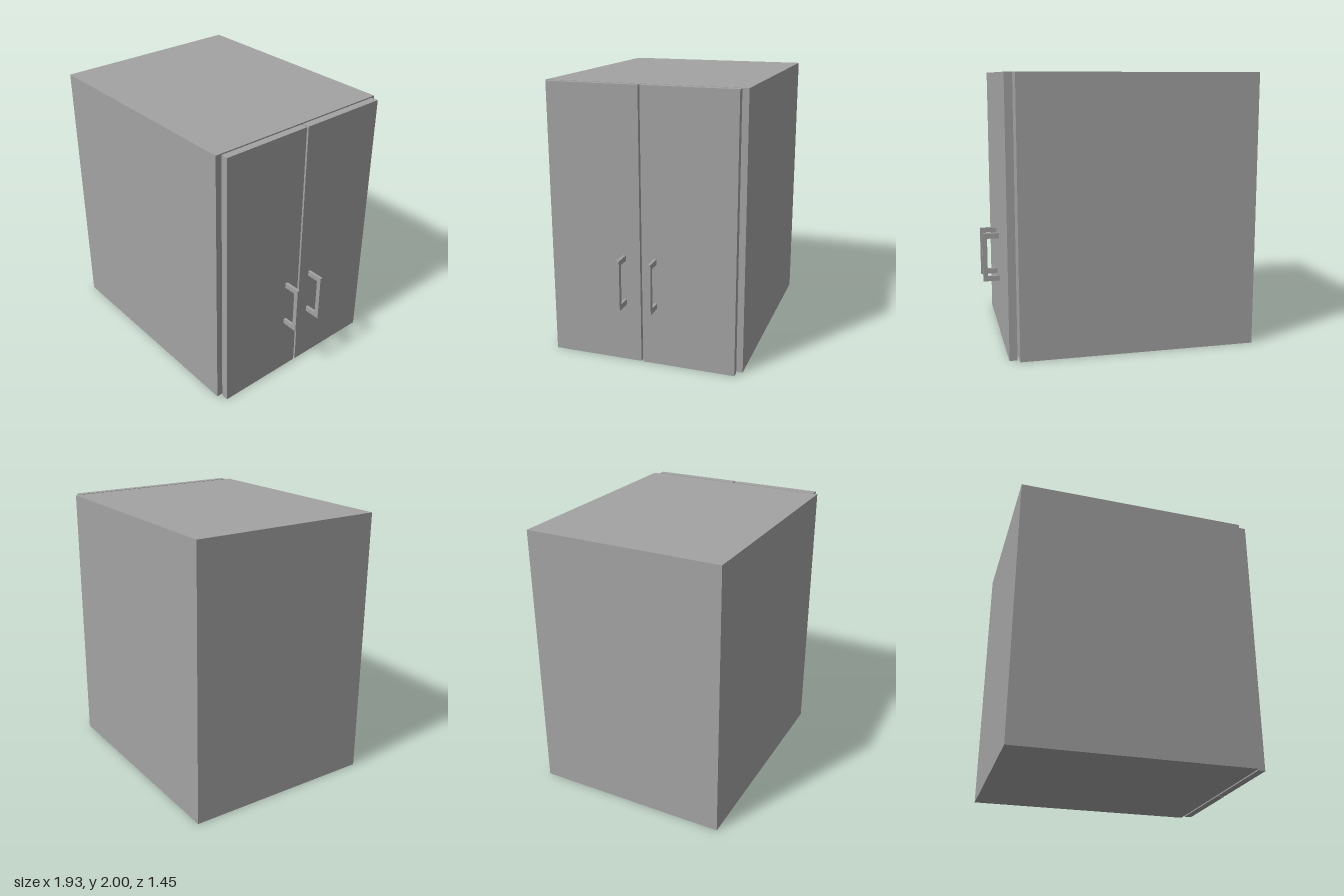
import * as THREE from 'three';

export function createModel() {
  const model = new THREE.Group();
  model.name = 'cabinet';
  const grey = new THREE.MeshStandardMaterial({ color: 0xa3a3a3 });
  grey.name = 'grey';

  // Box given by its lowest and highest corners
  function addBox(name, [x0, y0, z0], [x1, y1, z1]) {
    const mesh = new THREE.Mesh(new THREE.BoxGeometry(x1 - x0, y1 - y0, z1 - z0), grey);
    mesh.position.set((x0 + x1) / 2, (y0 + y1) / 2, (z0 + z1) / 2);
    mesh.name = name;
    model.add(mesh);
  }

  // Cabinet body, with a narrow gap before the doors
  addBox('body', [-0.965, 0, -0.725], [0.77, 2, 0.725]);

  // Pair of doors on the +x side
  addBox('backDoor', [0.784, 0, -0.682], [0.84, 2, -0.001]);
  addBox('frontDoor', [0.784, 0, 0.013], [0.838, 2, 0.69]);

  // C-shaped handles: two legs joined by an upright bar
  const outline = new THREE.Shape([
    [0.836, 0.43], [0.965, 0.43], [0.965, 0.8], [0.836, 0.8],
    [0.836, 0.76], [0.931, 0.76], [0.931, 0.47], [0.836, 0.47],
  ].map(([x, y]) => new THREE.Vector2(x, y)));
  const handleGeometry = new THREE.ExtrudeGeometry(outline, { depth: 0.02, bevelEnabled: false });
  for (const [name, z] of [['backDoorHandle', -0.112], ['frontDoorHandle', 0.12]]) {
    const handle = new THREE.Mesh(handleGeometry, grey);
    handle.position.z = z;
    handle.name = name;
    model.add(handle);
  }

  return model;
}
